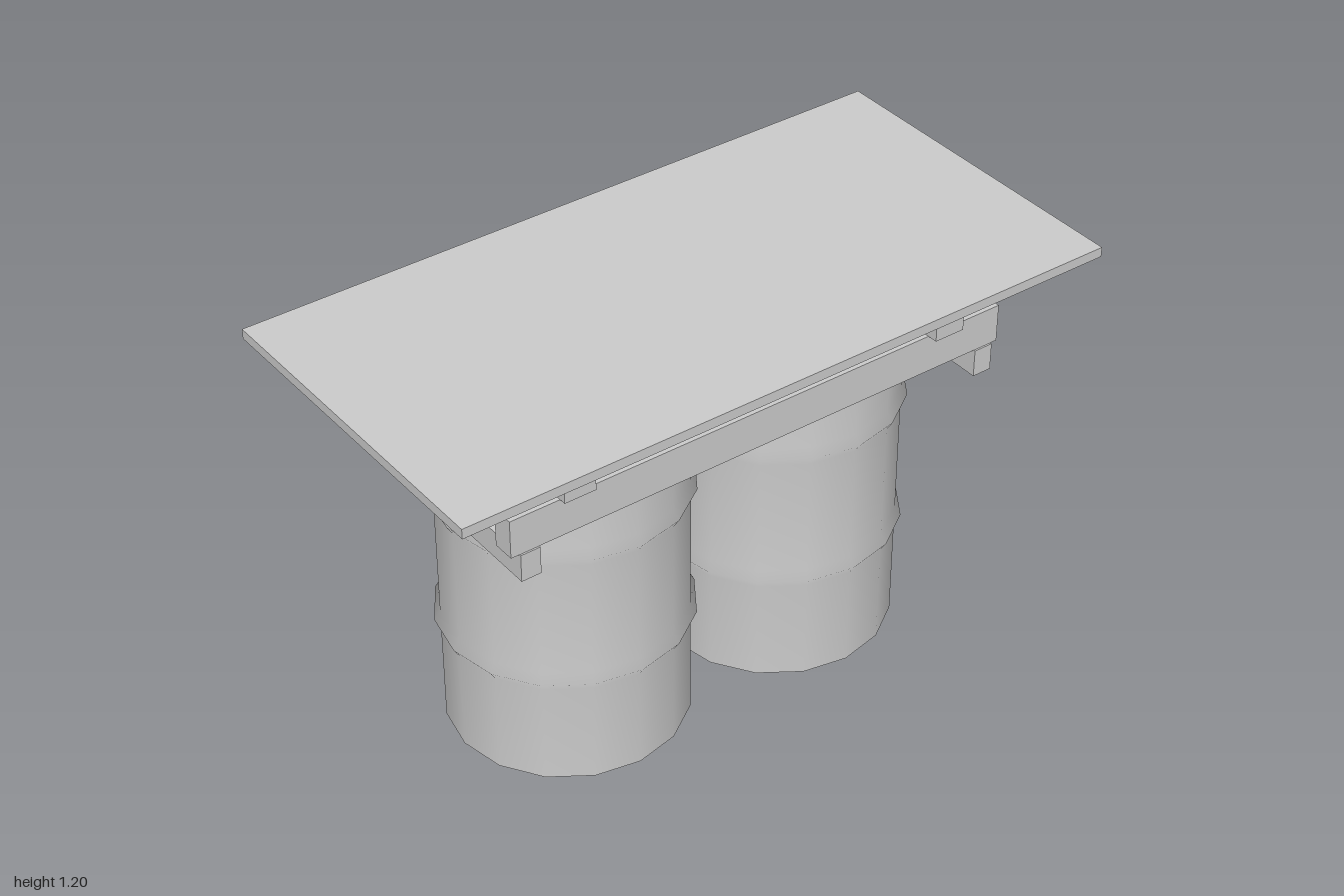
import * as THREE from 'three';

const grey = new THREE.MeshStandardMaterial({ color: 0xcccccc });

// Box given by its extents along each axis
function board(name, [x0, x1], [y0, y1], [z0, z1]) {
  const mesh = new THREE.Mesh(new THREE.BoxGeometry(x1 - x0, y1 - y0, z1 - z0), grey);
  mesh.position.set((x0 + x1) / 2, (y0 + y1) / 2, (z0 + z1) / 2);
  mesh.name = name;
  return mesh;
}

// Steel drum with two raised ribs and a bung on the lid
function createBarrel(name) {
  const barrel = new THREE.Group();
  barrel.name = name;
  const sides = 16, radius = 0.34, ribRadius = 0.357, height = 1.057;

  const profile = [[radius, 0]];
  for (const y of [0.337, 0.75]) {
    profile.push([radius, y - 0.027], [ribRadius, y], [radius, y + 0.027]);
  }
  profile.push([radius, height]);
  const wall = new THREE.Mesh(
    new THREE.LatheGeometry(profile.map(([r, y]) => new THREE.Vector2(r, y)), sides), grey);
  wall.name = 'barrelWall';
  barrel.add(wall);

  // Flat ends
  for (const [part, y, turn] of [['barrelLid', height, -1], ['barrelBase', 0, 1]]) {
    const end = new THREE.Mesh(new THREE.CircleGeometry(radius, sides), grey);
    end.rotation.x = turn * Math.PI / 2;
    end.position.y = y;
    end.name = part;
    barrel.add(end);
  }

  const bung = new THREE.Mesh(new THREE.CylinderGeometry(0.045, 0.045, 0.03, 12), grey);
  bung.position.set(0.2, height, 0.12);
  bung.name = 'bung';
  barrel.add(bung);
  return barrel;
}

export function createModel() {
  const model = new THREE.Group();
  model.name = 'barrelTable';

  // Two barrels, the rear one turned half way round
  const front = createBarrel('frontBarrel');
  front.position.set(-0.01, 0, 0.377);
  const rear = createBarrel('rearBarrel');
  rear.position.set(-0.01, 0, -0.33);
  rear.rotation.y = Math.PI;
  model.add(front, rear);

  // Lower clamping boards across the ends
  model.add(
    board('frontClampBoard', [-0.423, 0.4], [0.862, 0.943], [0.717, 0.775]),
    board('rearClampBoard', [-0.423, 0.4], [0.862, 0.943], [-0.73, -0.672]));

  // Long rails beside the barrels
  model.add(
    board('leftRail', [0.33, 0.395], [0.943, 1.055], [-0.75, 0.8]),
    board('rightRail', [-0.417, -0.35], [0.943, 1.055], [-0.74, 0.8]));

  // Cross beams carrying the top
  model.add(
    board('frontCrossBeam', [-0.45, 0.415], [1.055, 1.168], [0.56, 0.653]),
    board('rearCrossBeam', [-0.45, 0.425], [1.055, 1.168], [-0.6, -0.508]));

  // Table top
  model.add(board('tableTop', [-0.505, 0.505], [1.168, 1.197], [-1, 1]));
  return model;
}
